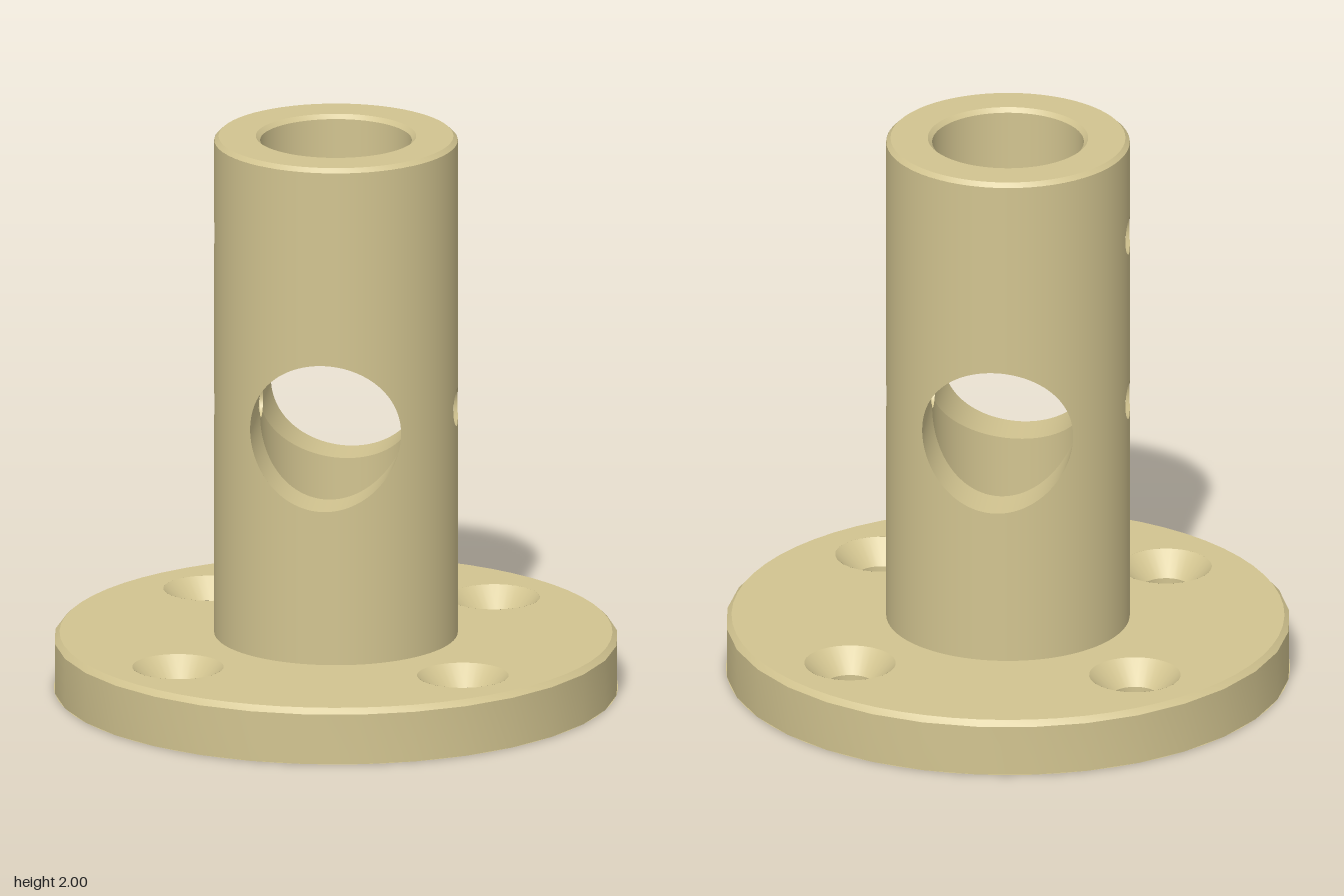
import * as THREE from 'three';
import { toCreasedNormals } from 'three/addons/utils/BufferGeometryUtils.js';

const R = 0.425, BORE = 0.265, CY = 1.02;          // post radius, bore and cross-hole radius, cross-hole height
const FLANGE = 0.985, BASE = 0.2, TOP = 1.985;     // flange radius, flange top, wall top below the chamfer
const RECESS = 0.068, SCREW = 0.058;               // screw hole mouth and shaft radii
const SCREWS = [[1, 1.03], [-1, 1.03], [-1, 1.65]]; // [side, height]

const half = (r, d) => Math.sqrt(Math.max(0, r * r - d * d));

// Gathers quads whose winding and smooth normals follow a given normal rule
function quadSurface(normalAt) {
  const pos = [], nor = [];
  const tri = (a, b, c) => {
    const face = b.clone().sub(a).cross(c.clone().sub(a));
    const mid = a.clone().add(b).add(c).divideScalar(3);
    const order = face.dot(normalAt(mid)) < 0 ? [a, c, b] : [a, b, c];
    for (const p of order) {
      pos.push(p.x, p.y, p.z);
      nor.push(...normalAt(p).normalize().toArray());
    }
  };
  return {
    quad(a, b, c, d) { tri(a, b, c); tri(a, c, d); },
    build() {
      const g = new THREE.BufferGeometry();
      g.setAttribute('position', new THREE.Float32BufferAttribute(pos, 3));
      g.setAttribute('normal', new THREE.Float32BufferAttribute(nor, 3));
      return g;
    },
  };
}

// Upright cylinder wall with openings; gaps(x, z, mx, mz) gives the open [low, high] spans of a column
function piercedWall(r, out, gaps, edges) {
  const angles = Array.from({ length: 129 }, (_, i) => (i / 128) * Math.PI * 2);
  for (const e of edges) angles.push(...e);
  angles.sort((a, b) => a - b);
  const s = quadSurface(p => new THREE.Vector3(p.x * out, 0, p.z * out));
  for (let i = 0; i < angles.length - 1; i++) {
    const a = angles[i], b = angles[i + 1], m = (a + b) / 2;
    if (b - a < 1e-6) continue;
    const column = t => [BASE, ...gaps(r * Math.sin(t), r * Math.cos(t), r * Math.sin(m), r * Math.cos(m)).flat(), TOP];
    const at = (t, y) => new THREE.Vector3(r * Math.sin(t), y, r * Math.cos(t));
    const ca = column(a), cb = column(b);
    for (let k = 0; k < ca.length; k += 2) {
      s.quad(at(a, ca[k]), at(b, cb[k]), at(b, cb[k + 1]), at(a, ca[k + 1]));
    }
  }
  return s.build();
}

// Angles that refine a wall around the side screw holes
function screwEdges(r, hole) {
  const list = [];
  for (let i = 0; i <= 16; i++) {
    const d = Math.asin((hole / r) * -Math.cos((i / 16) * Math.PI));
    list.push(Math.PI / 2 + d, Math.PI * 1.5 + d);
  }
  return list;
}

// Cross-hole wall: front and back strips between bore and outer wall
function crossHole() {
  const s = quadSurface(p => new THREE.Vector3(-p.x, CY - p.y, 0));
  const N = 128;
  for (const side of [1, -1]) {
    for (let i = 0; i < N; i++) {
      const row = k => {
        const t = (k / N) * Math.PI * 2, x = BORE * Math.cos(t), y = CY + BORE * Math.sin(t);
        const inner = Math.max(BORE * Math.abs(Math.sin(t)), half(SCREW, y - 1.03));
        return [new THREE.Vector3(x, y, side * inner), new THREE.Vector3(x, y, side * half(R, x))];
      };
      const [a, b] = row(i), [d, c] = row(i + 1);
      s.quad(a, b, c, d);
    }
  }
  return s.build();
}

// Bevelled mouth of a screw hole, following the curve of the post
function screwMouth() {
  const s = quadSurface(p => new THREE.Vector3(0.05, -p.y, -p.z));
  const at = (k, r, x) => {
    const t = (k / 32) * Math.PI * 2, z = r * Math.cos(t);
    return new THREE.Vector3(x ?? half(R, z), r * Math.sin(t), z);
  };
  for (let i = 0; i < 32; i++) {
    s.quad(at(i, RECESS), at(i + 1, RECESS), at(i + 1, SCREW, 0.408), at(i, SCREW, 0.408));
  }
  return s.build();
}

const lathe = (points, n) =>
  toCreasedNormals(new THREE.LatheGeometry(points.map(p => new THREE.Vector2(...p)), n), 0.5);

// Flat round plate with the four mounting holes
function plate(radius, hole) {
  const shape = new THREE.Shape().absarc(0, 0, radius, 0, Math.PI * 2);
  for (const x of [-0.5, 0.5]) for (const y of [-0.5, 0.5]) {
    shape.holes.push(new THREE.Path().absarc(x, y, hole, 0, Math.PI * 2, true));
  }
  return new THREE.ShapeGeometry(shape, 32);
}

export function createModel() {
  const model = new THREE.Group();
  model.name = 'flangedPostSocket';
  const metal = new THREE.MeshStandardMaterial({ color: 0xd2c490, side: THREE.DoubleSide });
  metal.name = 'sandMetal';
  const add = (name, geometry, parent = model) => {
    const mesh = new THREE.Mesh(geometry, metal);
    mesh.name = name;
    parent.add(mesh);
    return mesh;
  };

  // Flange with chamfered rim and countersunk holes
  add('flangeTop', plate(FLANGE - 0.02, 0.16).rotateX(-Math.PI / 2).translate(0, BASE, 0));
  add('flangeBottom', plate(FLANGE, 0.083).rotateX(Math.PI / 2));
  add('flangeRim', lathe([[FLANGE, 0], [FLANGE, BASE - 0.02], [FLANGE - 0.02, BASE]], 32));
  const sink = lathe([[0.16, BASE], [0.083, BASE - 0.08], [0.083, 0]], 32);
  for (const x of [-0.5, 0.5]) for (const z of [-0.5, 0.5]) {
    add('countersunkHole', sink).position.set(x, 0, z);
  }

  // Outer post wall, open at the cross hole and screw holes
  const crossAngle = Math.asin(BORE / R);
  const crossEdges = [];
  for (let i = 0; i <= 64; i++) {
    const d = Math.asin((BORE / R) * -Math.cos((i / 64) * Math.PI));
    crossEdges.push((d + Math.PI * 2) % (Math.PI * 2), Math.PI + d);
  }
  crossEdges.push(crossAngle);
  add('postWall', piercedWall(R, 1, (x, z, mx, mz) => {
    const spans = [];
    if (Math.abs(mx) < BORE) spans.push([CY - half(BORE, x), CY + half(BORE, x)]);
    for (const [side, y] of SCREWS) {
      if (mx * side > 0 && Math.abs(mz) < RECESS) spans.push([y - half(RECESS, z), y + half(RECESS, z)]);
    }
    return spans;
  }, [crossEdges, screwEdges(R, RECESS)]));

  // Bore wall, where the cross hole of equal radius cuts through
  add('boreWall', piercedWall(BORE, -1, (x, z, mx, mz) => {
    const h = half(SCREW, z), c = Math.abs(z), nearScrew = Math.abs(mz) < SCREW;
    const spans = [nearScrew ? [Math.min(CY - c, 1.03 - h), Math.max(CY + c, 1.03 + h)] : [CY - c, CY + c]];
    if (mx < 0 && nearScrew) spans.push([1.65 - h, 1.65 + h]);
    return spans;
  }, [screwEdges(BORE, SCREW)]));
  add('crossHoleWall', crossHole());
  add('postTopRim', lathe([[R, TOP], [R - 0.015, 2], [BORE + 0.015, 2], [BORE, TOP]], 64));

  // Set screws with hexagonal sockets
  const face = new THREE.Shape().absarc(0, 0, SCREW, 0, Math.PI * 2);
  const hex = Array.from({ length: 6 }, (_, i) => {
    const t = Math.PI / 2 - (i * Math.PI) / 3;
    return new THREE.Vector2(0.048 * Math.cos(t), 0.048 * Math.sin(t));
  });
  face.holes.push(new THREE.Path(hex));
  const socket = new THREE.ExtrudeGeometry(face, { depth: 0.04, bevelEnabled: false, curveSegments: 32 })
    .rotateY(Math.PI / 2).translate(0.36, 0, 0);
  const body = new THREE.CylinderGeometry(SCREW, SCREW, 0.05, 32).rotateZ(Math.PI / 2).translate(0.335, 0, 0);
  const shaft = new THREE.CylinderGeometry(SCREW, SCREW, 0.146, 32, 1, true).rotateZ(Math.PI / 2).translate(0.335, 0, 0);
  const mouth = screwMouth();
  for (const [side, y] of SCREWS) {
    const screw = new THREE.Group();
    screw.name = 'setScrew';
    add('screwHoleMouth', mouth, screw);
    add('screwHoleWall', shaft, screw);
    add('screwSocket', socket, screw);
    add('screwBody', body, screw);
    screw.position.y = y;
    screw.rotation.y = side > 0 ? 0 : Math.PI;
    model.add(screw);
  }
  return model;
}
